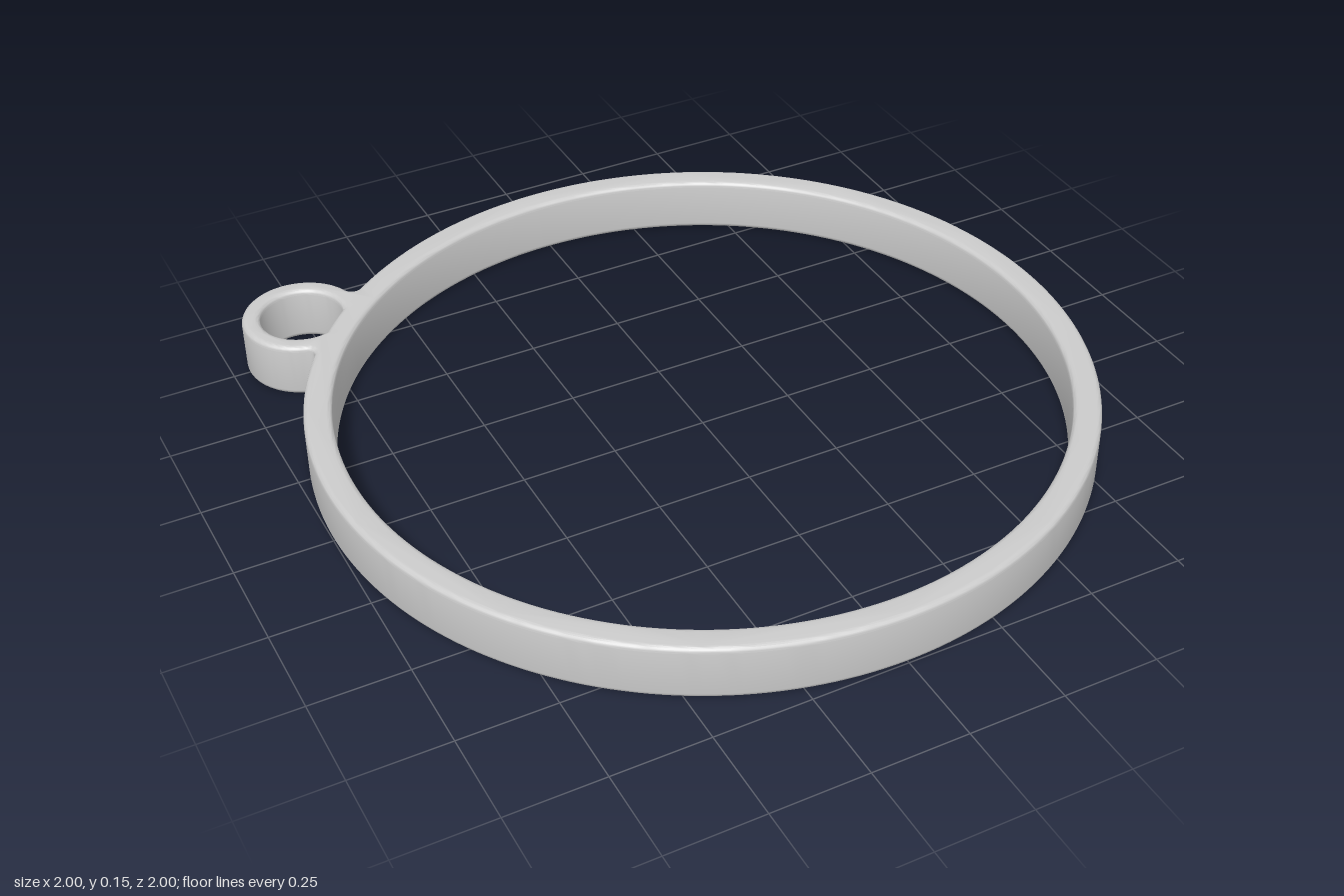
import * as THREE from 'three';
import { toCreasedNormals } from 'three/addons/utils/BufferGeometryUtils.js';

const RING_OUTER = 1, RING_INNER = 0.928, HEIGHT = 0.148;
const LOOP_DIST = 1.088, LOOP_OUTER = 0.156, LOOP_INNER = 0.108;
const FILLET = 0.022, BEVEL = 0.014;
const LOOP_ANGLE = Math.PI - Math.atan2(0.735, 0.805);

// Points along an arc, leaving out the end point so arcs can be chained
function arc(cx, cy, r, from, to, steps) {
  return Array.from({ length: steps }, (_, i) => {
    const a = from + ((to - from) * i) / steps;
    return new THREE.Vector2(cx + r * Math.cos(a), cy + r * Math.sin(a));
  });
}

// Upper crossing of a circle about the origin with one about (LOOP_DIST, 0)
function crossing(r1, r2) {
  const x = (r1 * r1 + LOOP_DIST ** 2 - r2 * r2) / (2 * LOOP_DIST);
  return { x, y: Math.sqrt(r1 * r1 - x * x) };
}

export function createModel() {
  const group = new THREE.Group();
  group.name = 'ringWithLoop';

  // Outline: large ring, fillet, small loop, fillet (loop lies on local +x)
  const f = crossing(RING_OUTER + FILLET, LOOP_OUTER + FILLET);
  const a = Math.atan2(f.y, f.x);
  const b = Math.atan2(f.y, f.x - LOOP_DIST);
  const outline = new THREE.Shape([
    ...arc(0, 0, RING_OUTER, a, 2 * Math.PI - a, 200),
    ...arc(f.x, -f.y, FILLET, Math.PI - a, -b + Math.PI - 2 * Math.PI * (b > a ? 0 : 1), 8),
    ...arc(LOOP_DIST, 0, LOOP_OUTER, -b, b, 64),
    ...arc(f.x, f.y, FILLET, b - Math.PI, a - Math.PI, 8),
  ]);

  // Main opening, and the loop opening cut off by the ring's outer wall
  const h = crossing(0.996, LOOP_INNER);
  const ha = Math.atan2(h.y, h.x);
  const hb = Math.atan2(h.y, h.x - LOOP_DIST);
  outline.holes.push(
    new THREE.Path(arc(0, 0, RING_INNER, 0, 2 * Math.PI, 200)),
    new THREE.Path([
      ...arc(LOOP_DIST, 0, LOOP_INNER, -hb, hb, 48),
      ...arc(0, 0, 0.996, ha, -ha, 6),
    ]),
  );

  // Extrude with softly rounded rims, lay flat and turn the loop to the back right
  const geometry = new THREE.ExtrudeGeometry(outline, {
    depth: HEIGHT - 2 * BEVEL,
    bevelThickness: BEVEL,
    bevelSize: BEVEL,
    bevelOffset: -BEVEL,
    bevelSegments: 5,
  });
  geometry.translate(0, 0, BEVEL);
  geometry.rotateZ(LOOP_ANGLE);
  geometry.rotateX(-Math.PI / 2);

  const band = new THREE.Mesh(
    toCreasedNormals(geometry, 0.35),
    new THREE.MeshStandardMaterial({ color: 0xcccccc }),
  );
  band.name = 'ringBandWithLoop';
  group.add(band);
  return group;
}
